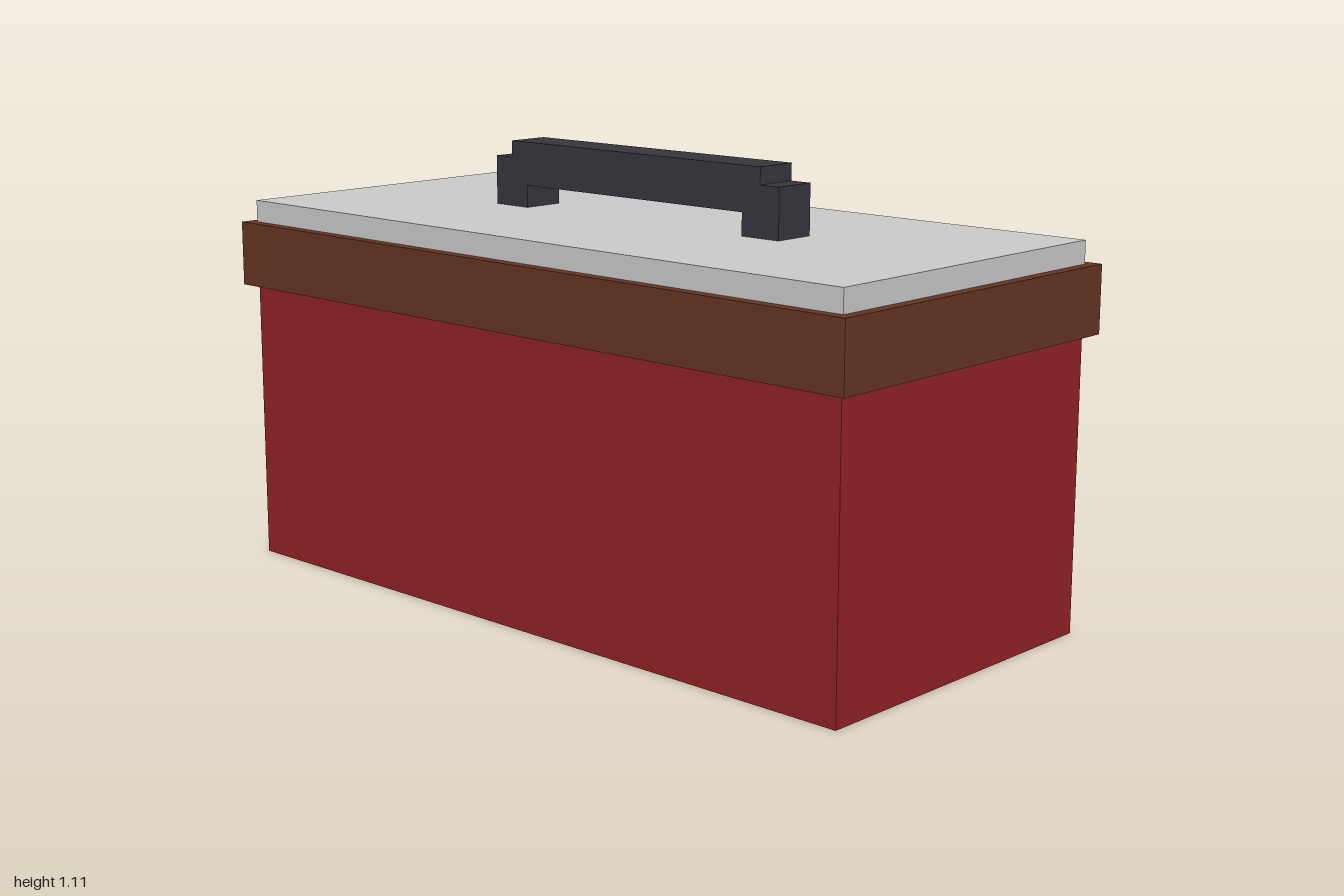
import * as THREE from 'three';

export function createModel() {
  const group = new THREE.Group();
  group.name = 'toolbox';

  const material = (name, color) => {
    const m = new THREE.MeshStandardMaterial({ color });
    m.name = name;
    return m;
  };
  const red = material('red', 0x902224);
  const brown = material('brown', 0x653422);
  const grey = material('light grey', 0xc9c9c9);
  const dark = material('charcoal', 0x36353d);

  // Box standing between two heights, centred on x and z
  const block = (name, mat, width, depth, bottom, top) => {
    const mesh = new THREE.Mesh(new THREE.BoxGeometry(width, top - bottom, depth), mat);
    mesh.name = name;
    mesh.position.y = (bottom + top) / 2;
    group.add(mesh);
  };

  // Body, overhanging rim and lid plate
  block('body', red, 1.944, 0.888, 0, 0.725);
  block('rim', brown, 2, 0.945, 0.725, 0.89);
  block('lid', grey, 1.944, 0.888, 0.89, 0.946);

  // Handle: half outline mirrored, with stepped shoulders over two feet
  const half = [[0.36, 1.002], [0.36, 0.946], [0.472, 0.946], [0.472, 1.07], [0.415, 1.07], [0.415, 1.112]];
  const outline = [...half, ...half.map(([x, y]) => [-x, y]).reverse()];
  const depth = 0.112;
  const handle = new THREE.Mesh(
    new THREE.ExtrudeGeometry(
      new THREE.Shape(outline.map(([x, y]) => new THREE.Vector2(x, y))),
      { depth, bevelEnabled: false }
    ),
    dark
  );
  handle.name = 'handle';
  handle.position.z = -depth / 2;
  group.add(handle);

  return group;
}
